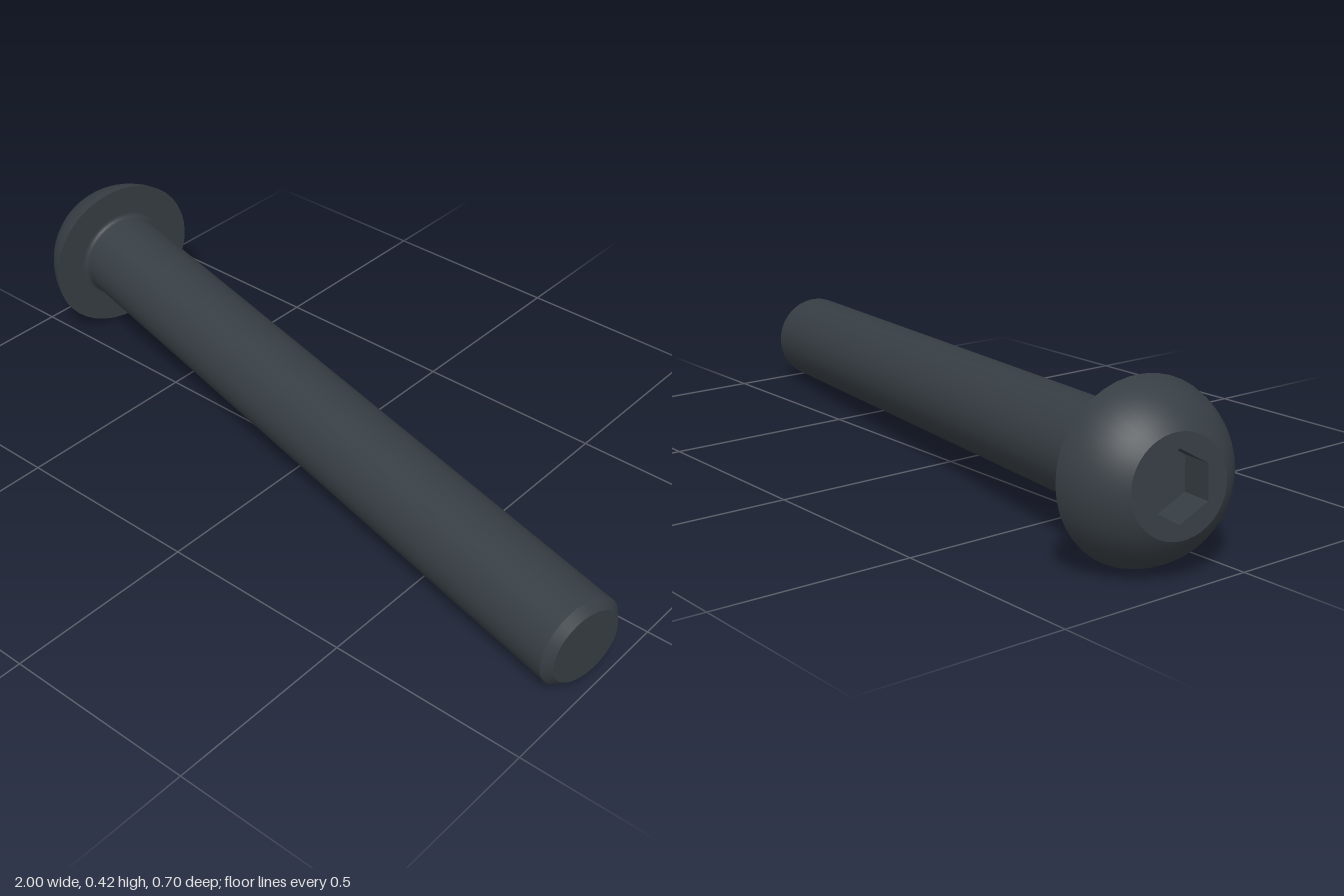
import * as THREE from 'three';

const SEG = 40;
const LENGTH = 1.863, SHAFT_R = 0.116, TIP_R = 0.0955, CHAMFER = 0.0205, FILLET = 0.012;
const HEAD_R = 0.2095, HEAD_H = 0.138, FLAT_R = 0.115;
const HEX_R = 0.08, HEX_DEPTH = 0.085;

export function createModel() {
  const model = new THREE.Group();
  const steel = new THREE.MeshStandardMaterial({ color: 0x373e44, side: THREE.DoubleSide });
  steel.name = 'dark steel';

  const bolt = new THREE.Group();
  bolt.name = 'bolt';
  model.add(bolt);

  const add = (name, geometry) => {
    const mesh = new THREE.Mesh(geometry, steel);
    mesh.name = name;
    bolt.add(mesh);
    return mesh;
  };
  // One lathe per smooth section, so the edges between sections stay sharp
  const turn = (name, points) =>
    add(name, new THREE.LatheGeometry(points.map(([r, y]) => new THREE.Vector2(r, y)), SEG));

  // Shaft, from the chamfered tip up to the head
  turn('tipFace', [[0, -LENGTH], [TIP_R, -LENGTH]]);
  turn('tipChamfer', [[TIP_R, -LENGTH], [SHAFT_R, -LENGTH + CHAMFER]]);
  turn('shaft', [[SHAFT_R, -LENGTH + CHAMFER], [SHAFT_R, -FILLET]]);

  // Small fillet where the shaft meets the head
  const fillet = [];
  for (let i = 0; i <= 5; i++) {
    const a = Math.PI - (i / 5) * Math.PI / 2;
    fillet.push([SHAFT_R + FILLET + FILLET * Math.cos(a), -FILLET + FILLET * Math.sin(a)]);
  }
  turn('headFillet', fillet);
  turn('headUnderside', [[SHAFT_R + FILLET, 0], [HEAD_R, 0]]);

  // Dome: arc of a sphere through the rim and the edge of the flat top
  const drop = (HEAD_R ** 2 - FLAT_R ** 2 - HEAD_H ** 2) / (2 * HEAD_H);
  const sphereR = Math.hypot(HEAD_R, drop);
  const a0 = Math.atan2(drop, HEAD_R), a1 = Math.atan2(HEAD_H + drop, FLAT_R);
  const dome = [];
  for (let i = 0; i <= 12; i++) {
    const a = a0 + (a1 - a0) * i / 12;
    dome.push([sphereR * Math.cos(a), sphereR * Math.sin(a) - drop]);
  }
  turn('headDome', dome);

  // Flat top with a hexagonal opening
  const hex = [];
  for (let i = 0; i < 6; i++) {
    const a = Math.PI / 2 + i * Math.PI / 3;
    hex.push(new THREE.Vector2(HEX_R * Math.cos(a), HEX_R * Math.sin(a)));
  }
  const top = new THREE.Shape().absarc(0, 0, FLAT_R, 0, Math.PI * 2);
  top.holes.push(new THREE.Path(hex));
  add('headTop', new THREE.ShapeGeometry(top, SEG / 2).rotateX(-Math.PI / 2))
    .position.y = HEAD_H;

  // Hex socket walls and floor
  const walls = new THREE.CylinderGeometry(HEX_R, HEX_R, HEX_DEPTH, 6, 1, true).toNonIndexed();
  walls.computeVertexNormals();
  add('socketWalls', walls).position.y = HEAD_H - HEX_DEPTH / 2;
  add('socketFloor', new THREE.ShapeGeometry(new THREE.Shape(hex)).rotateX(-Math.PI / 2))
    .position.y = HEAD_H - HEX_DEPTH;

  // Lay the bolt down, resting on the head rim and the tip
  const axis = new THREE.Vector3(-0.977, 0.05, -0.207).normalize();
  const up = new THREE.Vector3(0, 1, 0).addScaledVector(axis, -axis.y).normalize();
  const side = new THREE.Vector3().crossVectors(axis, up);
  bolt.quaternion.setFromRotationMatrix(new THREE.Matrix4().makeBasis(side, axis, up));
  bolt.position.set(-0.84, 0.209, -0.146);
  return model;
}
